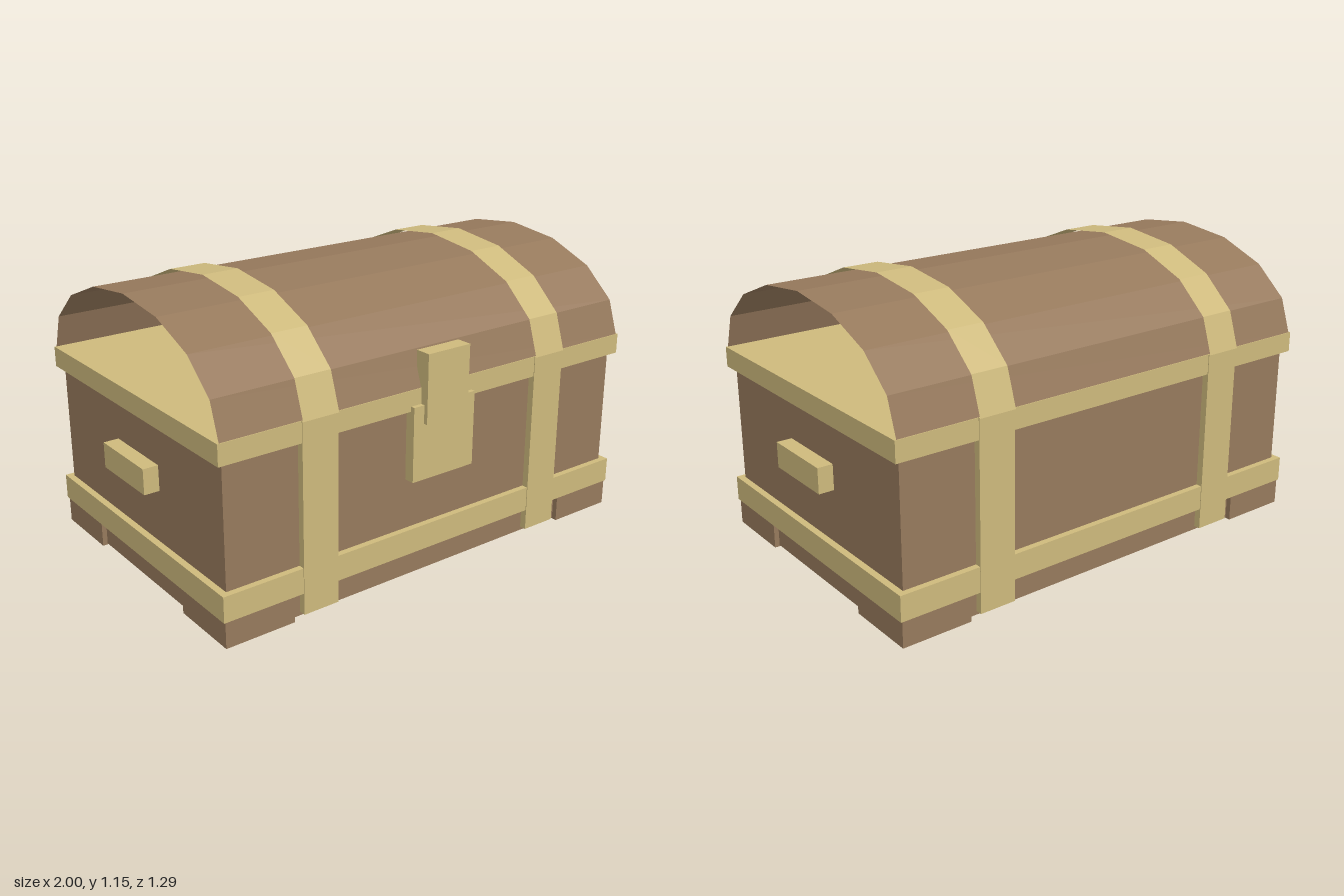
import * as THREE from 'three';

export function createModel() {
  const chest = new THREE.Group();
  chest.name = 'chest';
  const wood = new THREE.MeshStandardMaterial({ color: 0x96795c, flatShading: true });
  const brass = new THREE.MeshStandardMaterial({ color: 0xcdb97c, flatShading: true });
  const woodShell = wood.clone();
  const brassShell = brass.clone();
  woodShell.side = brassShell.side = THREE.DoubleSide;
  const midZ = -0.0125; // centre of the body in depth

  // Box given by its limits on each axis
  function box(name, material, [x0, x1], [y0, y1], [z0, z1]) {
    const mesh = new THREE.Mesh(new THREE.BoxGeometry(x1 - x0, y1 - y0, z1 - z0), material);
    mesh.position.set((x0 + x1) / 2, (y0 + y1) / 2, (z0 + z1) / 2);
    mesh.name = name;
    chest.add(mesh);
  }

  // Open half-elliptic shell of eight flat facets, running along x
  function arch(name, material, x, width, height, depth) {
    const geometry = new THREE.CylinderGeometry(1, 1, width, 8, 1, true, 0, Math.PI);
    geometry.rotateZ(Math.PI / 2);
    geometry.scale(1, height, depth);
    const mesh = new THREE.Mesh(geometry, material);
    mesh.position.set(x, 0.768, midZ);
    mesh.name = name;
    chest.add(mesh);
  }

  // Body and barrel lid
  box('body', wood, [-0.938, 0.938], [0.005, 0.73], [-0.61, 0.585]);
  arch('lid', woodShell, 0, 1.914, 0.362, 0.62);

  // Bands around the body
  box('lowerBand', brass, [-0.965, 0.965], [0.105, 0.207], [-0.635, 0.61]);
  box('upperBand', brass, [-0.965, 0.965], [0.688, 0.77], [-0.635, 0.61]);

  for (const side of [-1, 1]) {
    const span = (a, b) => (side > 0 ? [a, b] : [-b, -a]);

    // Corner feet
    box('frontFoot', wood, span(0.67, 0.958), [0, 0.108], [0.31, 0.606]);
    box('backFoot', wood, span(0.67, 0.958), [0, 0.108], [-0.631, -0.335]);

    // Vertical straps, continued over the lid
    box('frontStrap', brass, span(0.48, 0.632), [0.02, 0.77], [0.57, 0.613]);
    box('backStrap', brass, span(0.48, 0.632), [0.02, 0.77], [-0.638, -0.595]);
    arch('lidStrap', brassShell, side * 0.556, 0.152, 0.378, 0.631);

    // End handle
    box('handle', brass, span(0.93, 1), [0.42, 0.522], [-0.167, 0.142]);
  }

  // Lock
  box('lockPlate', brass, [-0.148, 0.148], [0.41, 0.708], [0.575, 0.628]);
  box('lockHasp', brass, [-0.1, 0.1], [0.635, 0.908], [0.58, 0.645]);

  return chest;
}
